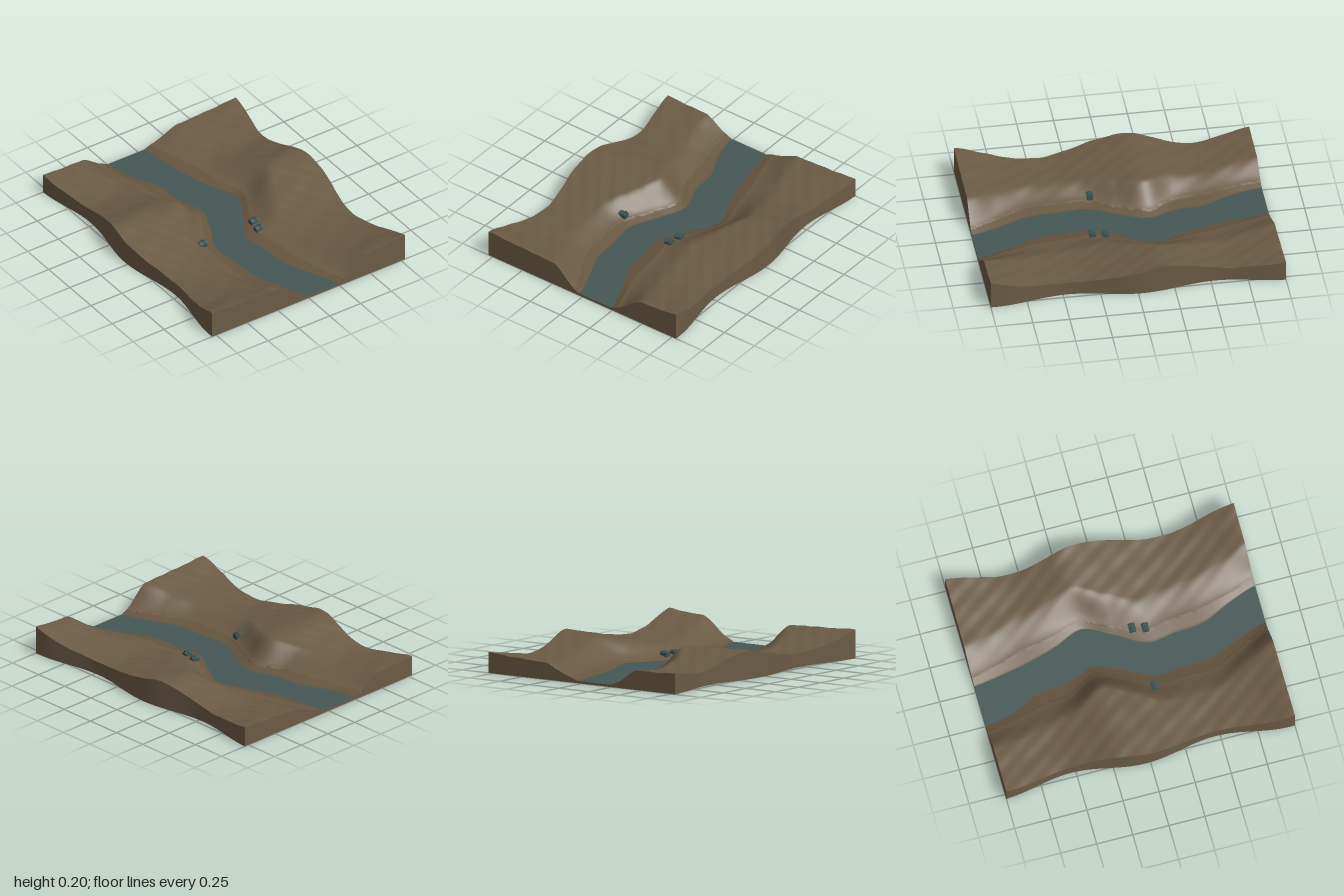
import * as THREE from 'three';

const mat = (name, color) => Object.assign(new THREE.MeshStandardMaterial({ color }), { name });

// Profiles sampled along z from -1 to 1 in steps of 0.2
const profile = (values) => {
  const curve = new THREE.SplineCurve(values.map((v, i) => new THREE.Vector2(-1 + i * 0.2, v)));
  return (z) => curve.getPoint(THREE.MathUtils.clamp((z + 1) / 2, 0, 1)).y;
};
const waterL = profile([-0.25, -0.21, -0.12, -0.1, -0.035, -0.11, -0.2, -0.185, -0.17, -0.09, -0.025]);
const waterR = profile([0.04, 0.07, 0.11, 0.17, 0.245, 0.15, 0.04, 0.06, 0.08, 0.17, 0.24]);
const bankL = profile([-0.3, -0.27, -0.22, -0.19, -0.09, -0.17, -0.265, -0.265, -0.255, -0.16, -0.07]);
const bankR = profile([0.09, 0.14, 0.2, 0.235, 0.285, 0.2, 0.12, 0.15, 0.17, 0.22, 0.28]);
const ridge = profile([0.14, 0.115, 0.1, 0.143, 0.195, 0.165, 0.125, 0.097, 0.106, 0.14, 0.195]);
const edge = (z) => 0.75 + 0.033 * Math.cos(2 * Math.PI * (z + 0.03));
const rough = (z) => 0.004 * Math.sin(z * 47) + 0.003 * Math.sin(z * 113);
const innerL = (z) => bankL(z) + rough(z);
const innerR = (z) => bankR(z) + rough(z + 0.4);

const WATER = 0.016;
const BANK = 0.036;

// Ground height: flat water, shallow bank, then a slope up to rolling hills
function height(x, z) {
  const left = x < (waterL(z) + waterR(z)) / 2;
  const side = left ? -1 : 1;
  const shore = side * (left ? waterL(z) : waterR(z));
  const bank = side * (left ? bankL(z) : bankR(z));
  const d = side * x;
  if (d <= shore) return WATER;
  if (d <= bank) return WATER + ((BANK - WATER) * (d - shore)) / (bank - shore);
  const t = THREE.MathUtils.smoothstep(d, bank - 0.02, bank + (left ? 0.17 : 0.22));
  const far = Math.abs(x) / 0.78;
  const crest = ridge(z) * (left ? 0.85 + 0.15 * far : 0.68 + 0.32 * far);
  const bumps = 0.0025 * Math.sin(x * 23 + z * 9) * Math.sin(z * 19 - x * 7)
    + 0.0012 * Math.sin(x * 51 - z * 37);
  return BANK + (crest + bumps - BANK) * t;
}

// Indexed grid surface from a rule fn(u, v) returning [x, y, z]
function grid(nu, nv, fn, flip = false) {
  const pos = [], index = [];
  for (let j = 0; j <= nv; j++) for (let i = 0; i <= nu; i++) pos.push(...fn(i / nu, j / nv));
  for (let j = 0; j < nv; j++) {
    for (let i = 0; i < nu; i++) {
      const a = j * (nu + 1) + i, b = a + 1, c = a + nu + 1, d = c + 1;
      if (flip) index.push(a, b, c, b, d, c);
      else index.push(a, c, b, b, c, d);
    }
  }
  const g = new THREE.BufferGeometry();
  g.setAttribute('position', new THREE.Float32BufferAttribute(pos, 3));
  g.setIndex(index);
  g.computeVertexNormals();
  return g;
}

// Top surface between two x boundaries, with normals taken from the height rule
function strip(from, to, nu) {
  const g = grid(nu, 140, (u, v) => {
    const z = -1 + 2 * v;
    const x = THREE.MathUtils.lerp(from(z), to(z), u);
    return [x, height(x, z), z];
  });
  const p = g.attributes.position, n = new THREE.Vector3(), e = 0.006;
  for (let i = 0; i < p.count; i++) {
    const x = p.getX(i), z = p.getZ(i);
    n.set(height(x - e, z) - height(x + e, z), 2 * e, height(x, z - e) - height(x, z + e)).normalize();
    g.attributes.normal.setXYZ(i, n.x, n.y, n.z);
  }
  return g;
}

export function createModel() {
  const model = new THREE.Group();
  model.name = 'riverValley';
  const earth = mat('earth', 0x6b5b45);
  const mud = mat('riverbank', 0x66563f);
  const water = mat('water', 0x455755);
  const hutPaint = mat('hut', 0x3c5252);
  const add = (name, geometry, material, parent = model) => {
    const m = new THREE.Mesh(geometry, material);
    m.name = name;
    parent.add(m);
    return m;
  };

  // Top surfaces
  add('rightHills', strip((z) => -edge(z), innerL, 60), earth);
  add('rightBank', strip(innerL, waterL, 5), mud);
  add('river', grid(4, 140, (u, v) => {
    const z = -1 + 2 * v;
    return [THREE.MathUtils.lerp(waterL(z), waterR(z), u), WATER, z];
  }), water);
  add('leftBank', strip(waterR, innerR, 5), mud);
  add('leftHills', strip(innerR, edge, 60), earth);

  // Cut walls at both ends and along the wavy sides
  for (const s of [-1, 1]) {
    add(s > 0 ? 'frontWall' : 'backWall', grid(160, 1, (u, v) => {
      const x = edge(s) * (2 * u - 1);
      return [x, v * height(x, s), s];
    }, s > 0), earth);
    add(s > 0 ? 'leftWall' : 'rightWall', grid(140, 1, (u, v) => {
      const z = -1 + 2 * u, x = s * edge(z);
      return [x, v * height(x, z), z];
    }, s < 0), earth);
  }
  add('underside', grid(1, 140, (u, v) => {
    const z = -1 + 2 * v;
    return [edge(z) * (2 * u - 1), 0, z];
  }, true), earth);

  // Small huts with a low gabled roof and a raised band
  const gable = new THREE.Shape([[-0.024, 0], [0.024, 0], [0, 0.01]].map(([x, y]) => new THREE.Vector2(x, y)));
  const roof = new THREE.ExtrudeGeometry(gable, { depth: 0.06, bevelEnabled: false });
  roof.translate(0, 0, -0.03).rotateY(Math.PI / 2);
  for (const [x, z] of [[-0.285, 0.16], [0.155, 0.125], [0.135, 0.21]]) {
    const hut = new THREE.Group();
    hut.name = 'hut';
    hut.position.set(x, height(x, z), z);
    add('hutBody', new THREE.BoxGeometry(0.054, 0.03, 0.04).translate(0, 0.006, 0), hutPaint, hut);
    add('hutRoof', roof, hutPaint, hut).position.y = 0.02;
    add('hutBand', new THREE.BoxGeometry(0.008, 0.014, 0.044).translate(0.008, 0.024, 0), hutPaint, hut);
    model.add(hut);
  }
  return model;
}
